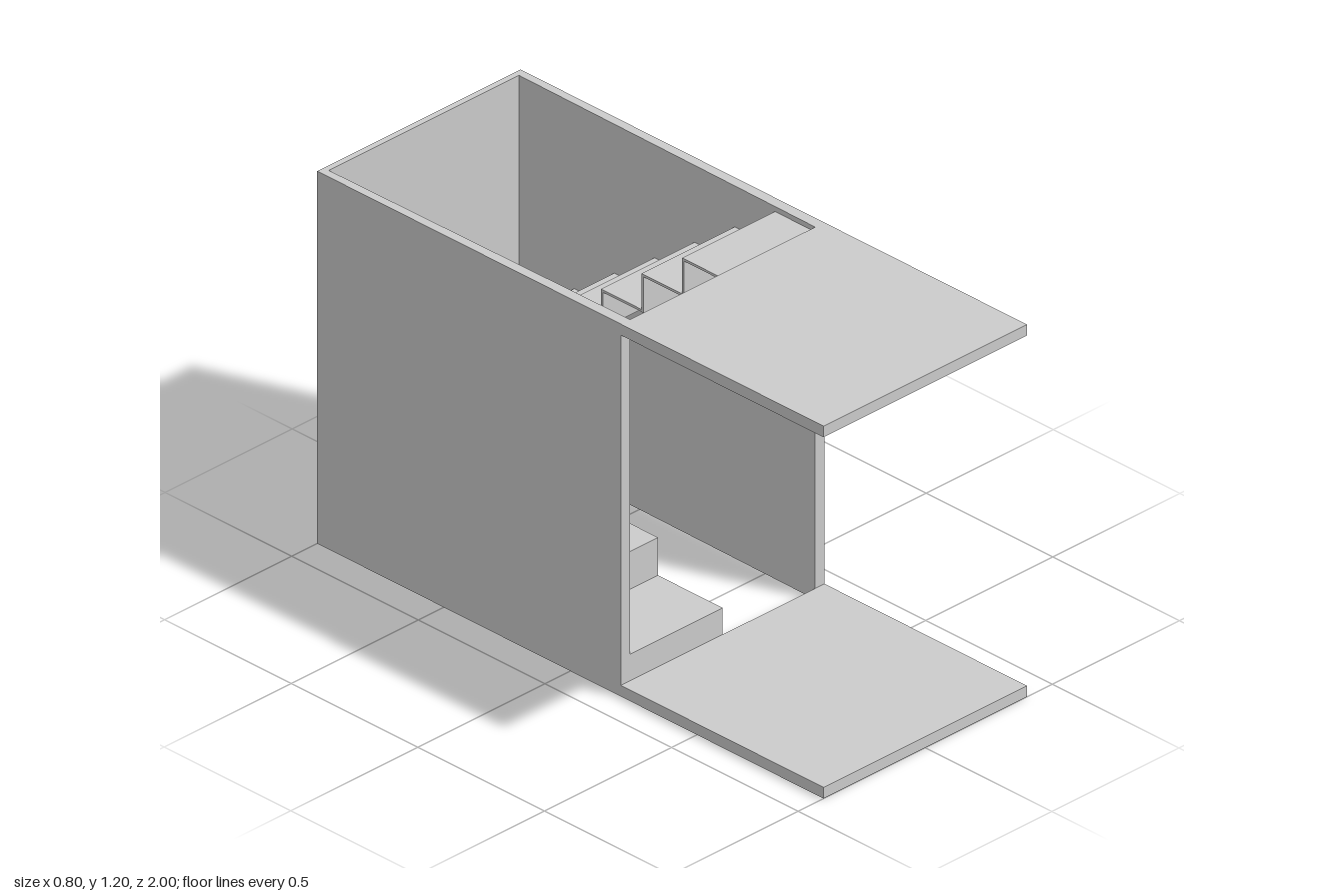
import * as THREE from 'three';

const T = 0.008; // thickness of the folded stair sheet

export function createModel() {
  const group = new THREE.Group();
  const mat = new THREE.MeshStandardMaterial({ color: 0xcccccc, flatShading: true });

  const add = (name, geometry) => {
    const mesh = new THREE.Mesh(geometry, mat);
    mesh.name = name;
    group.add(mesh);
    return mesh;
  };
  const extrude = (points, depth) => new THREE.ExtrudeGeometry(
    new THREE.Shape(points.map(([a, b]) => new THREE.Vector2(a, b))),
    { depth, bevelEnabled: false });

  // Floor slabs of the lower and upper storey
  for (const [name, y] of [['lowerFloor', 0.018], ['upperFloor', 1.182]]) {
    add(name, new THREE.BoxGeometry(0.8, 0.036, 0.8)).position.set(0, y, 0.6);
  }

  // U-shaped stairwell walls, open above, below and in front; plan is (x, -z)
  const plan = [
    [-0.4, -0.2], [-0.364, -0.2], [-0.374, 0.98], [0.374, 0.98],
    [0.364, -0.2], [0.4, -0.2], [0.4, 1], [-0.4, 1],
  ];
  add('stairwellWalls', extrude(plan, 1.2).rotateX(-Math.PI / 2));

  // Folded sheet: outline of the top, then the same line shifted back underneath
  const flight = (name, top, under, x) => {
    const g = extrude([...top, ...under.reverse()], 0.38);
    add(name, g.rotateY(-Math.PI / 2).translate(x, 0, 0));
  };

  // Lower flight climbs to the back and ends in its half of the landing
  const lower = [], lowerUnder = [];
  [0.2, -0.055, -0.307, -0.557].forEach((z, i) => {
    lower.push([z, i * 0.122], [z, (i + 1) * 0.122]);
    lowerUnder.push([z - T, i ? i * 0.122 - T : 0], [z - T, (i + 1) * 0.122 - T]);
  });
  lower.push([-0.99, 0.488]);
  lowerUnder.push([-0.99, 0.488 - T]);
  flight('lowerFlight', lower, lowerUnder, 0);

  // Upper flight starts with the other half of the landing and climbs to the front
  const upper = [[-0.99, 0.488]], upperUnder = [[-0.99, 0.488 - T]];
  for (let i = 0; i < 6; i++) {
    const z = -0.76 + i * 0.16, y = 0.488 + i * 0.116;
    upper.push([z, y], [z, y + 0.116]);
    upperUnder.push([z + T, y - T], [z + T, y + 0.116 - T]);
  }
  upper.push([0.2, 1.184]);
  upperUnder.push([0.2, 1.184 - T]);
  flight('upperFlight', upper, upperUnder, 0.38);

  return group;
}
